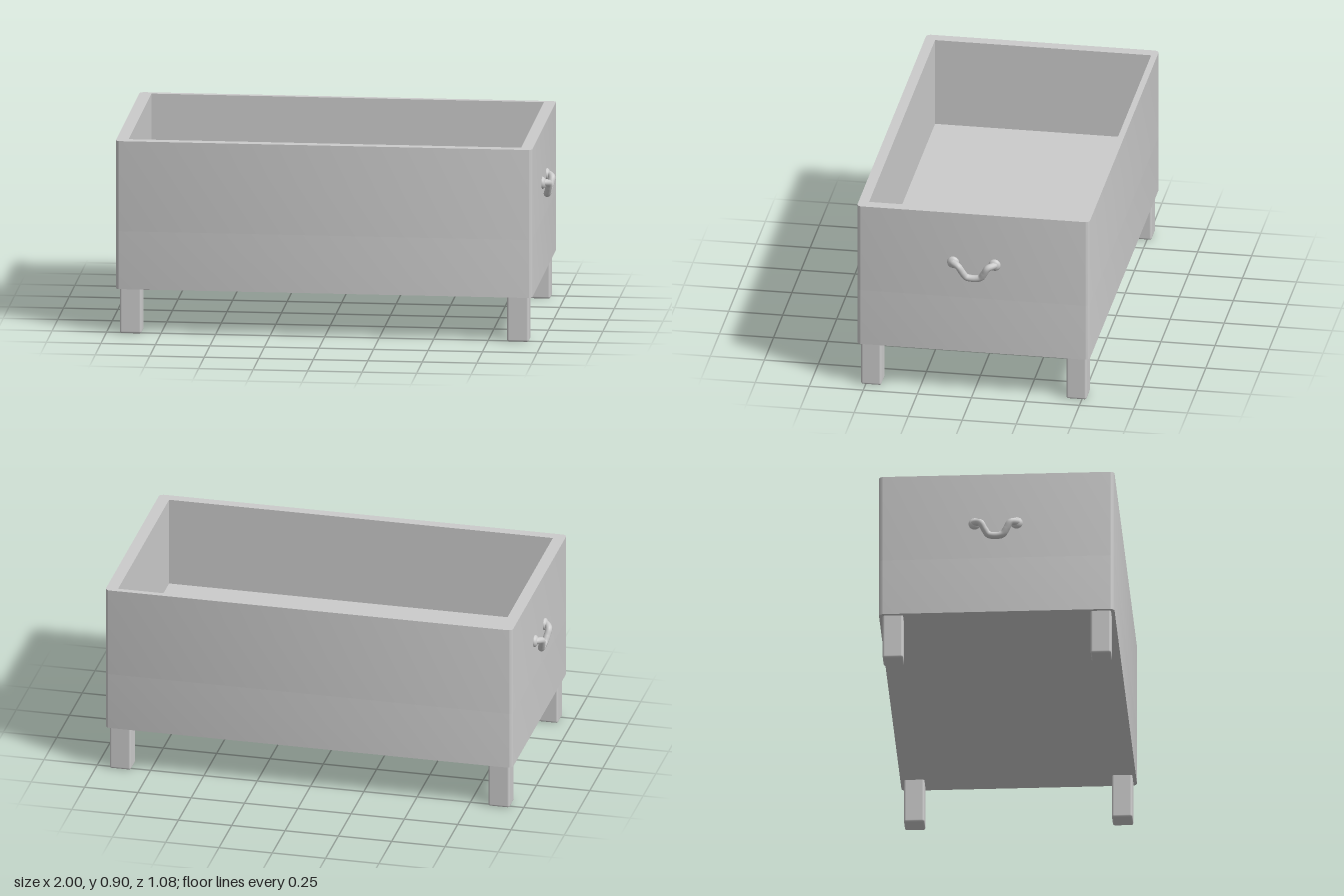
import * as THREE from 'three';
import { RoundedBoxGeometry } from 'three/addons/geometries/RoundedBoxGeometry.js';
import { toCreasedNormals } from 'three/addons/utils/BufferGeometryUtils.js';

const material = new THREE.MeshStandardMaterial({ color: 0xcccccc });

function addPart(parent, name, geometry, x = 0, y = 0, z = 0) {
  const mesh = new THREE.Mesh(geometry, material);
  mesh.name = name;
  mesh.position.set(x, y, z);
  parent.add(mesh);
  return mesh;
}

// Rectangle outline with rounded corners, centred on the origin
function roundedRect(hx, hz, r) {
  const s = new THREE.Shape();
  s.absarc(hx - r, hz - r, r, 0, Math.PI / 2);
  s.absarc(-hx + r, hz - r, r, Math.PI / 2, Math.PI);
  s.absarc(-hx + r, -hz + r, r, Math.PI, Math.PI * 1.5);
  s.absarc(hx - r, -hz + r, r, Math.PI * 1.5, Math.PI * 2);
  s.closePath();
  return s;
}

// Vertical slab of an outline, standing on y = 0
function slab(shape, height) {
  const g = new THREE.ExtrudeGeometry(shape, { depth: height, bevelEnabled: false, curveSegments: 5 });
  g.rotateX(-Math.PI / 2);
  return toCreasedNormals(g, 0.6);
}

function makeHandle(side) {
  const handle = new THREE.Group();
  handle.name = side > 0 ? 'leftHandle' : 'rightHandle';

  // Sagging grip that stands off the wall
  const half = [
    [0.952, 0.655, 0.106], [0.97, 0.653, 0.09], [0.983, 0.645, 0.068],
    [0.979, 0.617, 0.051], [0.972, 0.592, 0.034], [0.97, 0.586, 0.015],
  ];
  const full = [...half, ...half.slice().reverse().map(([x, y, z]) => [x, y, -z])];
  const curve = new THREE.CatmullRomCurve3(full.map(([x, y, z]) => new THREE.Vector3(side * x, y, z)));
  addPart(handle, 'grip', new THREE.TubeGeometry(curve, 64, 0.016, 12));

  // Domed mounts at both ends
  for (const s of [-1, 1]) {
    const mount = addPart(handle, 'mount', new THREE.SphereGeometry(0.028, 20, 14), side * 0.955, 0.653, s * 0.096);
    mount.scale.x = 0.65;
  }
  handle.position.z = -0.004;
  return handle;
}

export function createModel() {
  const model = new THREE.Group();
  model.name = 'planterBox';

  // Solid base, whose top is the inner floor
  const bottom = 0.21, floor = 0.48, top = 0.9;
  addPart(model, 'base', slab(roundedRect(0.955, 0.538, 0.022), floor - bottom), 0, bottom, 0);

  // Walls around the open cavity
  const walls = roundedRect(0.955, 0.538, 0.022);
  const cavity = new THREE.Path();
  cavity.moveTo(-0.9, -0.49);
  cavity.lineTo(-0.9, 0.51);
  cavity.lineTo(0.9, 0.51);
  cavity.lineTo(0.9, -0.49);
  cavity.closePath();
  walls.holes.push(cavity);
  addPart(model, 'walls', slab(walls, top - floor), 0, floor, 0);

  // Four feet, with softened edges, sunk slightly into the base
  for (const x of [-1, 1]) {
    for (const z of [-1, 1]) {
      addPart(model, 'leg', new RoundedBoxGeometry(0.1, 0.23, 0.094, 3, 0.01), x * 0.888, 0.115, z * 0.475);
    }
  }

  model.add(makeHandle(1), makeHandle(-1));
  return model;
}
